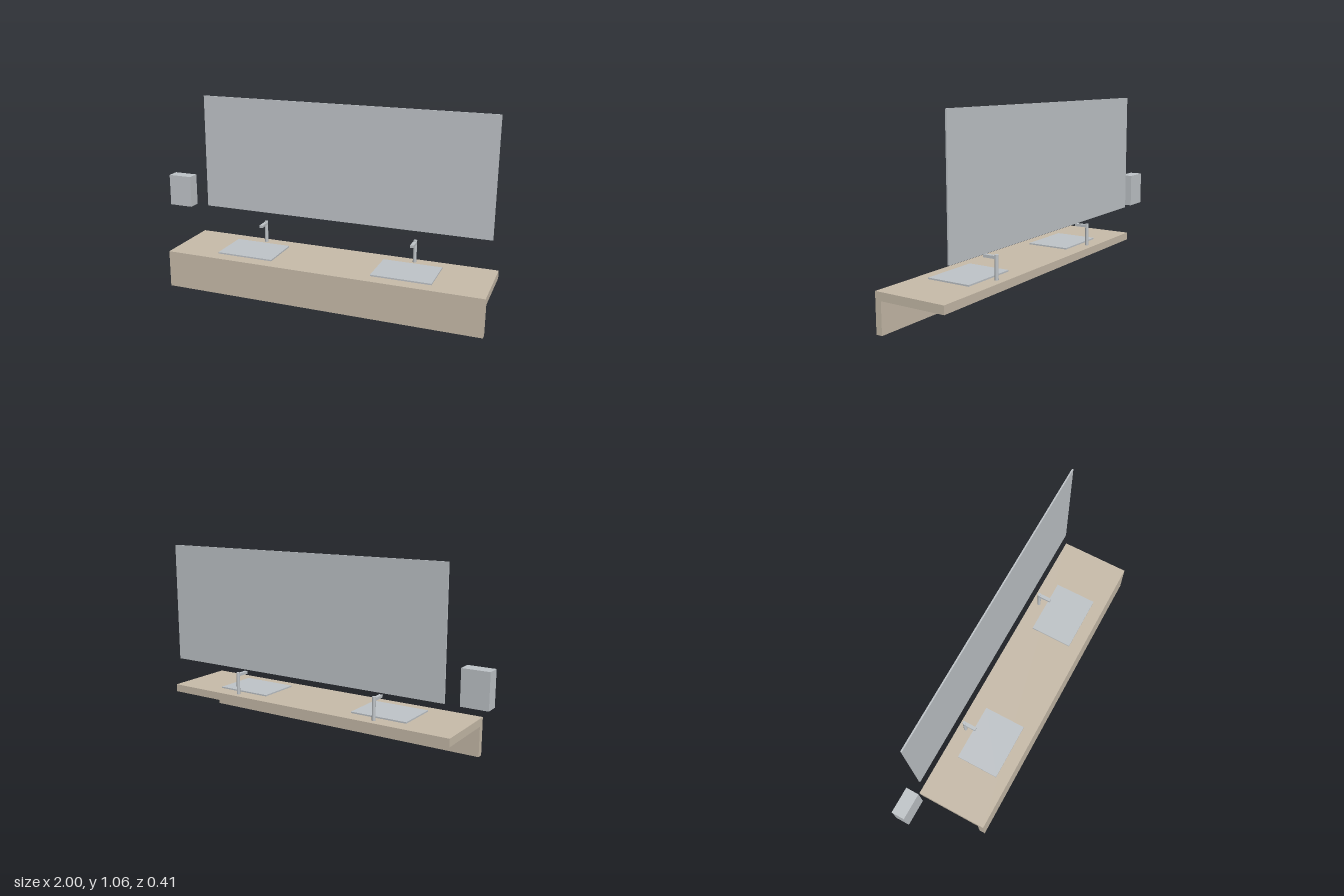
import * as THREE from 'three';

const stone = new THREE.MeshStandardMaterial({ color: 0xc8bcaa });
stone.name = 'warm beige';
const grey = new THREE.MeshStandardMaterial({ color: 0xc0c5c9 });
grey.name = 'pale grey';

// Box given by its minimum and maximum along each axis
function box(name, material, [x0, x1], [y0, y1], [z0, z1]) {
  const mesh = new THREE.Mesh(new THREE.BoxGeometry(x1 - x0, y1 - y0, z1 - z0), material);
  mesh.position.set((x0 + x1) / 2, (y0 + y1) / 2, (z0 + z1) / 2);
  mesh.name = name;
  return mesh;
}

// Countertop with a front apron, as one L-shaped profile run along x
function createCounter() {
  const profile = new THREE.Shape([
    [-0.205, 0], [-0.205, 0.212], [0.205, 0.212], [0.205, 0.168], [-0.17, 0.168], [-0.17, 0],
  ].map(([u, v]) => new THREE.Vector2(u, v)));
  const geometry = new THREE.ExtrudeGeometry(profile, { depth: 1.81, bevelEnabled: false });
  geometry.rotateY(Math.PI / 2); // profile u becomes -z, depth becomes +x
  geometry.translate(-0.81, 0, 0);
  const counter = new THREE.Mesh(geometry, stone);
  counter.name = 'counter';
  return counter;
}

// Upright round post with a flat spout reaching forward
function createFaucet(x) {
  const faucet = new THREE.Group();
  faucet.name = 'faucet';
  const post = new THREE.Mesh(new THREE.CylinderGeometry(0.01, 0.01, 0.128, 24), grey);
  post.position.set(x, 0.276, -0.161);
  post.name = 'post';
  faucet.add(post, box('spout', grey, [x - 0.01, x + 0.01], [0.319, 0.334], [-0.161, -0.087]));
  return faucet;
}

export function createModel() {
  const model = new THREE.Group();
  model.name = 'doubleVanity';
  model.add(createCounter());

  // Two washing places
  for (const x of [-0.362, 0.546]) {
    model.add(box('basin', grey, [x - 0.166, x + 0.166], [0.153, 0.22], [-0.117, 0.131]));
    model.add(createFaucet(x));
  }

  // Wall pieces
  model.add(box('mirror', grey, [-0.775, 0.96], [0.38, 1.058], [-0.205, -0.197]));
  model.add(box('dispenser', grey, [-1, -0.855], [0.38, 0.568], [-0.205, -0.132]));
  return model;
}
